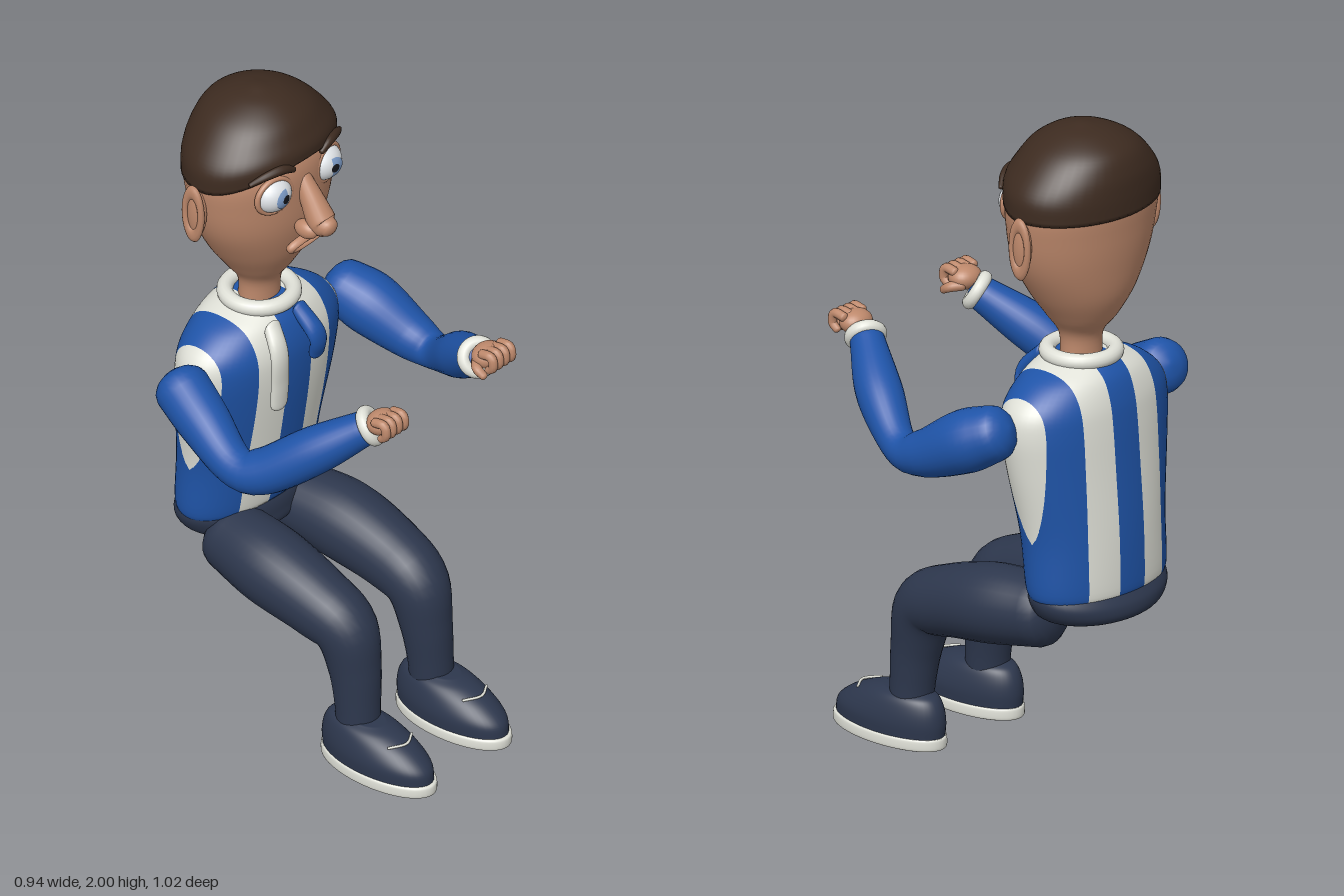
import * as THREE from 'three';

const V = (x, y, z) => new THREE.Vector3(x, y, z);
const mat = (name, color) => Object.assign(new THREE.MeshStandardMaterial({ color }), { name });

// Closed smooth skin over a list of rings
function skin(rings) {
  const n = rings[0].length, pos = [], idx = [];
  rings.forEach(r => r.forEach(p => pos.push(p.x, p.y, p.z)));
  for (let i = 0; i < rings.length - 1; i++) for (let j = 0; j < n; j++) {
    const a = i * n + j, b = i * n + (j + 1) % n;
    idx.push(a, b, a + n, b, b + n, a + n);
  }
  [rings[0], rings[rings.length - 1]].forEach((r, end) => {
    const c = r.reduce((s, p) => s.add(p), V(0, 0, 0)).divideScalar(n);
    const ci = pos.length / 3, o = end ? (rings.length - 1) * n : 0;
    pos.push(c.x, c.y, c.z);
    for (let j = 0; j < n; j++) {
      const a = o + j, b = o + (j + 1) % n;
      end ? idx.push(ci, a, b) : idx.push(ci, b, a);
    }
  });
  const g = new THREE.BufferGeometry();
  g.setAttribute('position', new THREE.Float32BufferAttribute(pos, 3));
  g.setIndex(idx);
  g.computeVertexNormals();
  return g;
}

const spline = pts => new THREE.CatmullRomCurve3(pts, false, 'catmullrom', 0.5);

// Stacked ovals: rows of [y, halfWidth, zFront, zBack, frontLift]
function loft(rows, cx = 0, steps = 28, n = 48) {
  const a = spline(rows.map(r => V(r[0], r[1], r[4] || 0)));
  const b = spline(rows.map(r => V(r[2], r[3], 0)));
  const rings = [];
  for (let i = 0; i <= steps; i++) {
    const p = a.getPoint(i / steps), q = b.getPoint(i / steps), ring = [];
    for (let j = 0; j < n; j++) {
      const t = j / n * Math.PI * 2, c = Math.cos(t);
      ring.push(V(cx + p.y * Math.sin(t), p.x + p.z * Math.max(0, c) ** 2, (q.x + q.y) / 2 + c * (q.x - q.y) / 2));
    }
    rings.push(ring);
  }
  return skin(rings);
}

// Round limb through [x, y, z, radius] points with domed ends
function limb(pts, steps = 24, n = 20, dome = 0.7) {
  const path = spline(pts.map(p => V(p[0], p[1], p[2])));
  const rad = spline(pts.map((p, i) => V(p[3], i, 0)));
  const fr = path.computeFrenetFrames(steps), rings = [];
  const add = (i, shift, k) => {
    const u = i / steps, r = rad.getPoint(path.getUtoTmapping(u)).x;
    const c = path.getPointAt(u).addScaledVector(fr.tangents[i], shift * r * dome);
    rings.push(Array.from({ length: n }, (_, j) => {
      const t = j / n * Math.PI * 2;
      return c.clone().addScaledVector(fr.normals[i], r * k * Math.cos(t)).addScaledVector(fr.binormals[i], r * k * Math.sin(t));
    }));
  };
  const angles = [1.45, 1.1, 0.75, 0.4];
  angles.forEach(a => add(0, -Math.sin(a), Math.cos(a)));
  for (let i = 0; i <= steps; i++) add(i, 0, 1);
  angles.reverse().forEach(a => add(steps, Math.sin(a), Math.cos(a)));
  return skin(rings);
}

// The part of a geometry lying between two x planes
function slice(geo, lo, hi) {
  const g = geo.toNonIndexed(), P = g.attributes.position, N = g.attributes.normal, pos = [], nor = [];
  const clip = (poly, at, sign) => {
    const out = [];
    poly.forEach((a, i) => {
      const b = poly[(i + 1) % poly.length], da = (a.p.x - at) * sign, db = (b.p.x - at) * sign;
      if (da >= 0) out.push(a);
      if (da * db < 0) {
        const t = da / (da - db);
        out.push({ p: a.p.clone().lerp(b.p, t), n: a.n.clone().lerp(b.n, t).normalize() });
      }
    });
    return out;
  };
  for (let i = 0; i < P.count; i += 3) {
    let poly = [0, 1, 2].map(k => ({ p: V(0, 0, 0).fromBufferAttribute(P, i + k), n: V(0, 0, 0).fromBufferAttribute(N, i + k) }));
    poly = clip(clip(poly, lo, 1), hi, -1);
    for (let k = 1; k < poly.length - 1; k++) [poly[0], poly[k], poly[k + 1]].forEach(v => {
      pos.push(...v.p.toArray());
      nor.push(...v.n.toArray());
    });
  }
  const out = new THREE.BufferGeometry();
  out.setAttribute('position', new THREE.Float32BufferAttribute(pos, 3));
  out.setAttribute('normal', new THREE.Float32BufferAttribute(nor, 3));
  return out;
}

export function createModel() {
  const root = new THREE.Group();
  const blue = mat('shirt blue', 0x1f54a8), white = mat('off white', 0xe0e1d8), navy = mat('trouser navy', 0x2d374d);
  const flesh = mat('skin', 0xbd886b), brown = mat('hair brown', 0x3d2b20), eyeWhite = mat('eye white', 0xe6eaee);
  const irisBlue = mat('iris blue', 0x7f9fcc), black = mat('pupil black', 0x14161c), dark = mat('mouth dark', 0x4a2a24);
  const put = (name, geo, m, parent = root) => {
    const o = new THREE.Mesh(geo, m);
    o.name = name;
    parent.add(o);
    return o;
  };
  const ball = (name, m, p, s, parent) => {
    const o = put(name, new THREE.SphereGeometry(1, 28, 18), m, parent);
    o.position.set(...p);
    o.scale.set(...s);
    return o;
  };

  // Striped shirt, cut into vertical bands
  const torso = loft([[0.60, 0.235, -0.21, -0.485, 0.03], [0.64, 0.248, -0.2, -0.493, 0.02], [0.8, 0.251, -0.175, -0.49],
    [1.0, 0.284, -0.145, -0.475], [1.12, 0.298, -0.135, -0.465], [1.19, 0.28, -0.14, -0.455], [1.25, 0.21, -0.16, -0.435],
    [1.285, 0.13, -0.185, -0.405], [1.3, 0.09, -0.2, -0.38]], 0, 40, 64);
  const cuts = [-1, -0.25, -0.15, -0.05, 0.05, 0.15, 0.25, 1];
  for (let i = 0; i < 7; i++) put('shirtStripe', slice(torso, cuts[i], cuts[i + 1]), i % 2 ? blue : white);
  const collar = put('collar', new THREE.TorusGeometry(0.098, 0.024, 16, 40).rotateX(Math.PI / 2), white);
  collar.position.set(0, 1.3, -0.29);

  // Hanging ties at the neck
  const tie = (name, pts, m) => { put(name, limb(pts, 20, 18), m).scale.z = 0.5; };
  tie('whiteTie', [[-0.085, 1.265, -0.33, 0.03], [-0.1, 1.2, -0.25, 0.033], [-0.092, 1.1, -0.26, 0.034], [-0.088, 1.025, -0.275, 0.033]], white);
  tie('blueTie', [[0.035, 1.27, -0.34, 0.026], [0.045, 1.2, -0.22, 0.031], [0.055, 1.14, -0.24, 0.031]], blue);

  // Trousers
  put('pelvis', loft([[0.515, 0.12, -0.26, -0.44], [0.54, 0.2, -0.21, -0.5], [0.58, 0.235, -0.205, -0.508], [0.62, 0.238, -0.21, -0.485], [0.66, 0.2, -0.23, -0.46]]), navy);

  // Head, hair and neck
  put('head', loft([[1.28, 0.066, -0.235, -0.345], [1.36, 0.068, -0.228, -0.35], [1.42, 0.108, -0.19, -0.395], [1.5, 0.165, -0.147, -0.435],
    [1.6, 0.22, -0.118, -0.456], [1.7, 0.246, -0.11, -0.468], [1.8, 0.25, -0.113, -0.472], [1.88, 0.19, -0.15, -0.44]], 0, 36), flesh);
  put('hair', loft([[1.765, 0.257, -0.1, -0.482, 0.075], [1.83, 0.252, -0.102, -0.482, 0.04], [1.89, 0.212, -0.117, -0.475, 0.01],
    [1.945, 0.155, -0.15, -0.448], [1.982, 0.085, -0.21, -0.385], [2.0, 0.015, -0.28, -0.31]]), brown);
  put('nose', limb([[0, 1.76, -0.128, 0.026], [0, 1.7, -0.09, 0.035], [0, 1.64, -0.052, 0.042], [0, 1.63, -0.028, 0.03]]), flesh);
  for (const s of [-1, 1]) ball('nostril', flesh, [s * 0.03, 1.615, -0.085], [0.026, 0.028, 0.04]);

  // Open mouth
  const mouth = new THREE.Group();
  mouth.name = 'mouth';
  mouth.position.set(0, 1.552, -0.113);
  mouth.rotation.x = 0.55;
  root.add(mouth);
  put('lips', new THREE.TorusGeometry(0.065, 0.013, 12, 36).scale(1, 0.42, 1), flesh, mouth);
  ball('mouthInside', dark, [0, 0, -0.004], [0.064, 0.026, 0.008], mouth);
  ball('teeth', white, [0, 0.007, 0.002], [0.05, 0.012, 0.007], mouth);

  for (const s of [-1, 1]) {
    // Eye with lid rim, iris and pupil
    const eye = new THREE.Group();
    eye.name = 'eye';
    eye.position.set(s * 0.11, 1.75, -0.145);
    eye.rotation.y = s * 0.2;
    root.add(eye);
    ball('eyeball', eyeWhite, [0, 0, 0], [0.06, 0.054, 0.052], eye);
    [['iris', irisBlue, 0.6, 1.015], ['pupil', black, 0.24, 1.03]].forEach(([name, m, a, k]) => {
      const cap = put(name, new THREE.SphereGeometry(k, 28, 8, 0, Math.PI * 2, 0, a).rotateX(Math.PI / 2), m, eye);
      cap.scale.set(0.06, 0.054, 0.052);
      cap.rotation.y = -s * 0.3;
    });
    put('eyelidRim', new THREE.TorusGeometry(0.06, 0.009, 10, 36).scale(1, 0.9, 1), flesh, eye).position.z = 0.012;
    put('eyebrow', limb([[s * 0.06, 1.825, -0.107, 0.009], [s * 0.1, 1.842, -0.112, 0.014], [s * 0.15, 1.835, -0.13, 0.012], [s * 0.19, 1.815, -0.155, 0.007]], 16, 12), brown);

    // Ear with rolled rim
    ball('ear', flesh, [s * 0.255, 1.69, -0.3], [0.022, 0.08, 0.032]);
    const rim = put('earRim', new THREE.TorusGeometry(0.03, 0.01, 10, 30).scale(1, 2.4, 1).rotateY(Math.PI / 2), flesh);
    rim.position.set(s * 0.268, 1.69, -0.303);

    // Leg and shoe
    put('leg', limb([[s * 0.135, 0.53, -0.27, 0.105], [s * 0.155, 0.512, -0.1, 0.117], [s * 0.158, 0.472, 0.07, 0.105], [s * 0.153, 0.425, 0.17, 0.094],
      [s * 0.152, 0.31, 0.206, 0.077], [s * 0.155, 0.2, 0.22, 0.067], [s * 0.157, 0.12, 0.225, 0.064]], 36, 28, 0.55), navy);
    put('shoeUpper', loft([[0.03, 0.09, 0.5, 0.108], [0.075, 0.092, 0.49, 0.105], [0.115, 0.083, 0.44, 0.112], [0.145, 0.068, 0.375, 0.13], [0.16, 0.045, 0.32, 0.16]], s * 0.16), navy);
    put('shoeSole', loft([[0, 0.088, 0.5, 0.11], [0.006, 0.095, 0.509, 0.102], [0.03, 0.095, 0.509, 0.102], [0.037, 0.09, 0.502, 0.106]], s * 0.16, 12), white);
    put('shoelace', limb([[s * 0.11, 0.134, 0.385, 0.004], [s * 0.16, 0.136, 0.41, 0.004], [s * 0.21, 0.134, 0.385, 0.004]], 12, 8), white);

    // Bent arm; the two sides differ a little at the elbow
    put('arm', limb(s > 0
      ? [[0.345, 1.14, -0.275, 0.082], [0.372, 1.1, -0.19, 0.092], [0.4, 1.035, -0.06, 0.07], [0.398, 1.025, 0.04, 0.052], [0.325, 1.125, 0.19, 0.068], [0.235, 1.225, 0.325, 0.05]]
      : [[-0.345, 1.14, -0.275, 0.082], [-0.372, 1.09, -0.17, 0.077], [-0.408, 1.025, -0.02, 0.06], [-0.385, 1.035, 0.07, 0.068], [-0.315, 1.13, 0.2, 0.07], [-0.235, 1.225, 0.325, 0.05]], 36, 26), blue);
    const cuff = put('cuff', new THREE.TorusGeometry(0.042, 0.02, 14, 30), white);
    cuff.position.set(s * 0.23, 1.232, 0.335);
    cuff.lookAt(s * 0.14, 1.332, 0.47);

    // Fist
    const hand = new THREE.Group();
    hand.name = 'hand';
    root.add(hand);
    ball('palm', flesh, [s * 0.225, 1.263, 0.378], [0.052, 0.036, 0.045], hand);
    for (let i = 0; i < 4; i++) {
      const x = s * (0.19 + i * 0.026);
      put('finger', limb([[x, 1.285, 0.385, 0.014], [x, 1.288, 0.42, 0.014], [x, 1.258, 0.428, 0.0135], [x, 1.24, 0.41, 0.012]], 14, 12), flesh, hand);
    }
    put('thumb', limb([[s * 0.195, 1.25, 0.36, 0.016], [s * 0.17, 1.245, 0.385, 0.015], [s * 0.17, 1.23, 0.41, 0.012]], 12, 12), flesh, hand);
  }
  return root;
}
